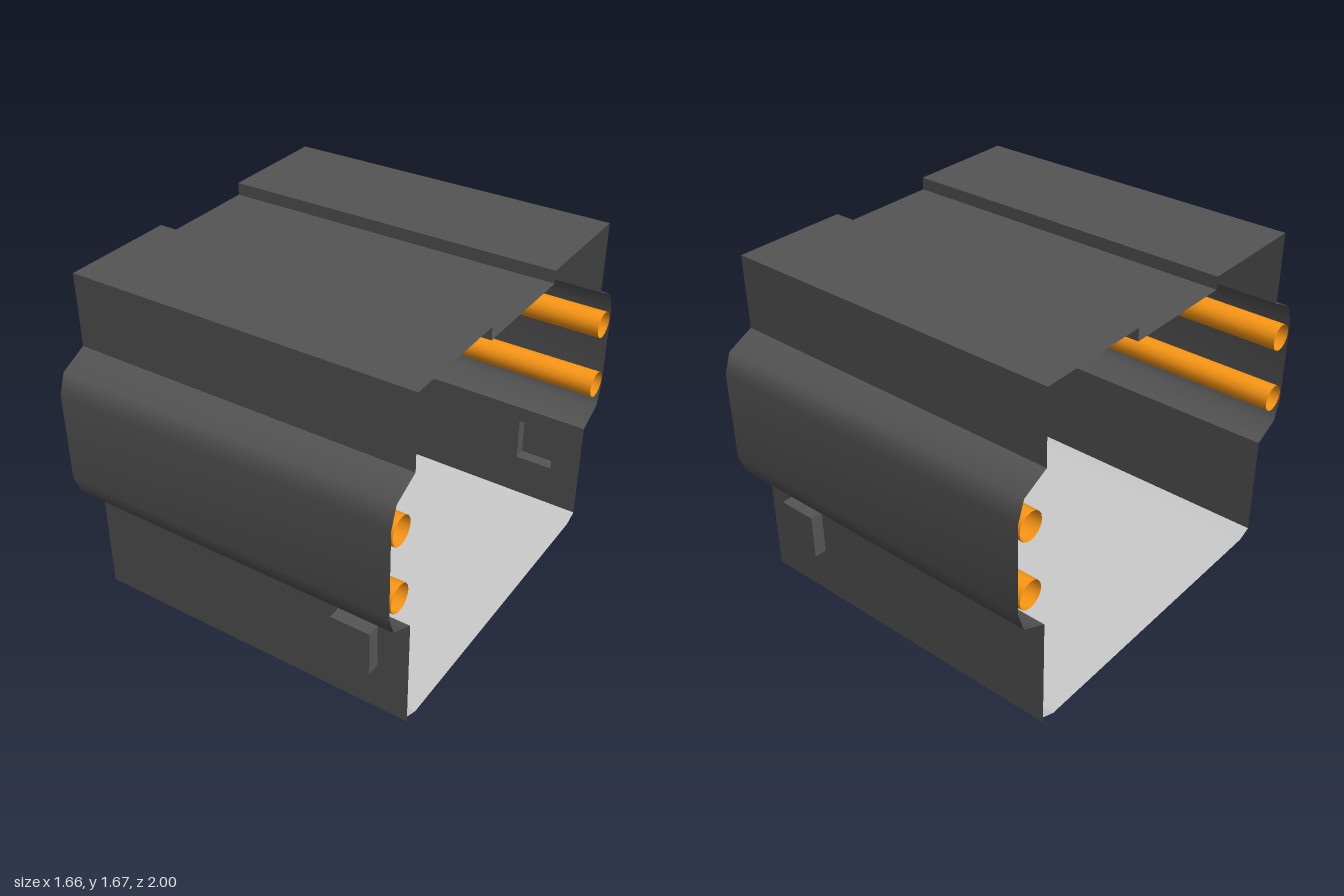
import * as THREE from 'three';

const HALF_LENGTH = 0.83, WALL_Z = 0.835, TOP = 1.67, RECESS_Y = 1.61;

const material = (color) => new THREE.MeshStandardMaterial({ color, side: THREE.DoubleSide });
const dark = material(0x555555);
const pale = material(0xcccccc);
const orange = material(0xff9914);

function add(parent, name, geometry, mat) {
  const mesh = new THREE.Mesh(geometry, mat);
  mesh.name = name;
  parent.add(mesh);
  return mesh;
}

// Sheet swept along x from a [z, y] profile, smooth or creased at each bend
function sheet(profile, smooth = false) {
  const positions = [], index = [];
  for (const [z, y] of profile) positions.push(-HALF_LENGTH, y, z, HALF_LENGTH, y, z);
  for (let i = 0; i < profile.length - 1; i++) {
    const a = i * 2;
    index.push(a, a + 1, a + 3, a, a + 3, a + 2);
  }
  let geometry = new THREE.BufferGeometry();
  geometry.setAttribute('position', new THREE.Float32BufferAttribute(positions, 3));
  geometry.setIndex(index);
  if (!smooth) geometry = geometry.toNonIndexed();
  geometry.computeVertexNormals();
  return geometry;
}

// One side of the corridor, facing +z; the niche sits at nicheX
function createSide(nicheX) {
  const side = new THREE.Group();
  const bulgeLow = 0.555, bulgeHigh = 1.32;
  const niche = { w: 0.195, h: 0.225, d: 0.063, y: 0.3625 };

  // Lower wall with an opening for the niche
  const wall = new THREE.Shape([
    new THREE.Vector2(-HALF_LENGTH, 0), new THREE.Vector2(HALF_LENGTH, 0),
    new THREE.Vector2(HALF_LENGTH, bulgeLow), new THREE.Vector2(-HALF_LENGTH, bulgeLow),
  ]);
  const l = nicheX - niche.w / 2, r = nicheX + niche.w / 2;
  const b = niche.y - niche.h / 2, t = niche.y + niche.h / 2;
  wall.holes.push(new THREE.Path([
    new THREE.Vector2(l, b), new THREE.Vector2(l, t),
    new THREE.Vector2(r, t), new THREE.Vector2(r, b),
  ]));
  add(side, 'lowerWall', new THREE.ShapeGeometry(wall), dark).position.z = WALL_Z;

  // Niche: a box without its inner face
  const box = new THREE.BoxGeometry(niche.w, niche.h, niche.d);
  box.setIndex(Array.from(box.index.array).slice(0, 30));
  add(side, 'wallNiche', box, dark).position.set(nicheX, niche.y, WALL_Z + niche.d / 2);

  // Bulging panel and upper wall
  add(side, 'bulgePanel', sheet([
    [WALL_Z, bulgeLow], [0.965, 0.62], [1, 0.72], [1, 1.155], [0.965, 1.255], [WALL_Z, bulgeHigh],
  ], true), dark);
  add(side, 'upperWall', sheet([[WALL_Z, bulgeHigh], [WALL_Z, TOP]]), dark);

  // Pair of open pipes inside the bulge
  for (const y of [0.77, 1.105]) {
    const pipe = new THREE.CylinderGeometry(0.066, 0.066, HALF_LENGTH * 2, 16, 1, true);
    pipe.rotateZ(Math.PI / 2);
    add(side, 'pipe', pipe, orange).position.set(0, y, 0.925);
  }
  return side;
}

export function createModel() {
  const model = new THREE.Group();
  model.name = 'corridorSection';

  // Front and back sides, with both niches at the same end
  const front = createSide(0.58);
  front.name = 'frontSide';
  const back = createSide(-0.58);
  back.name = 'backSide';
  back.rotation.y = Math.PI;
  model.add(front, back);

  // Roof with a shallow central channel
  add(model, 'roof', sheet([
    [WALL_Z, TOP], [0.28, TOP], [0.28, RECESS_Y], [-0.28, RECESS_Y], [-0.28, TOP], [-WALL_Z, TOP],
  ]), dark);

  // Floor with upturned edges
  add(model, 'floor', sheet([[WALL_Z, 0.03], [0.765, 0], [-0.765, 0], [-WALL_Z, 0.03]]), pale);

  // Square ceiling lamp with a bevelled lower rim
  const rim = [[0, 1.54], [0.122, 1.54], [0.131, 1.557], [0.131, RECESS_Y]]
    .map(([half, y]) => new THREE.Vector2(half * Math.SQRT2, y));
  const lamp = new THREE.LatheGeometry(rim, 4, Math.PI / 4).toNonIndexed();
  lamp.computeVertexNormals();
  add(model, 'ceilingLamp', lamp, pale);

  return model;
}
